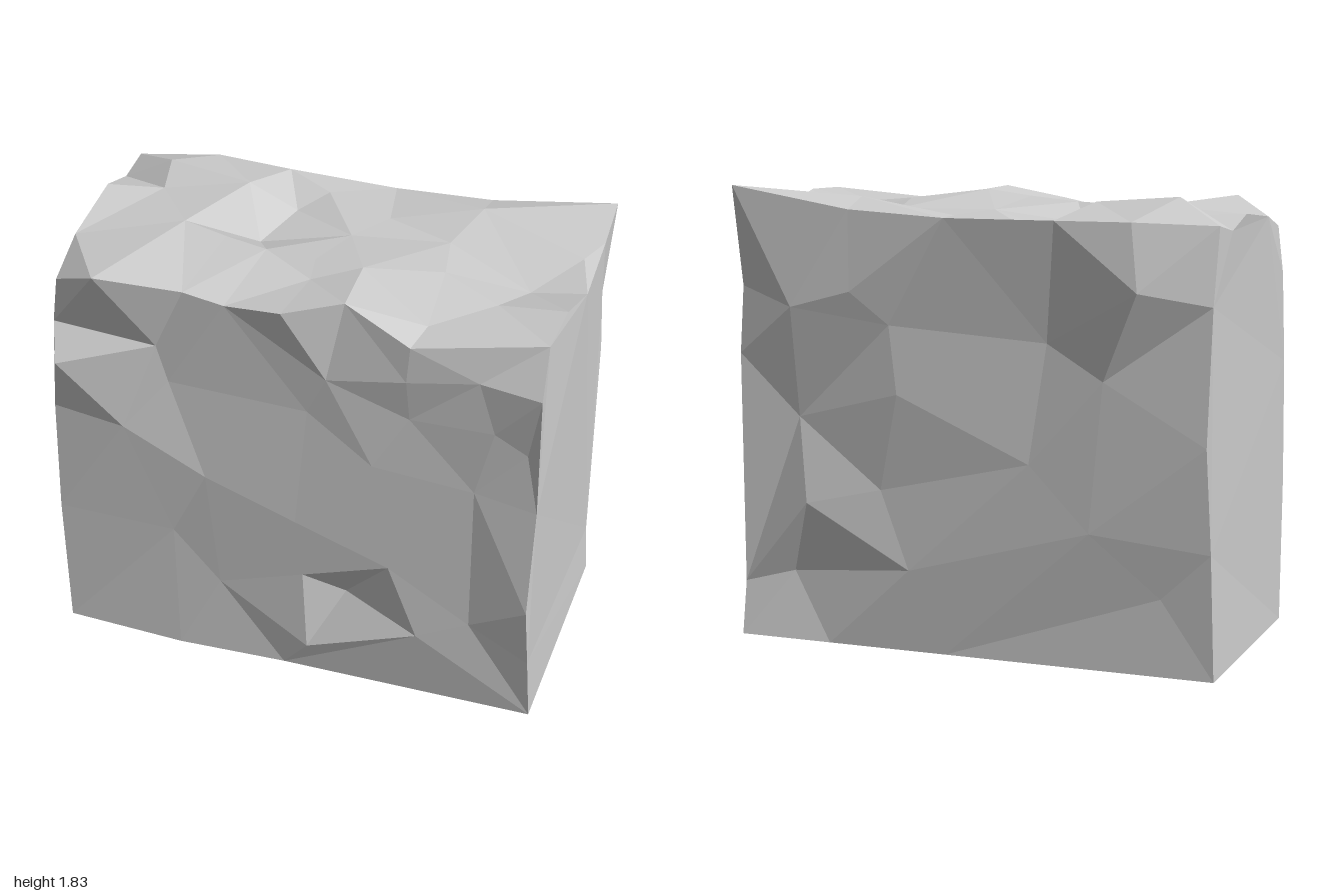
import * as THREE from 'three';

// Corners (right = +x, left = -x): bottom / top, front / back
const bfl = [-1, 0, 0.5], bfr = [0.99, 0, 0.49], bbl = [-1, 0, -0.5], bbr = [0.99, 0, -0.5];
const tfl = [-0.98, 1.65, 0.44], tfr = [0.97, 1.75, 0.43], tbl = [-0.98, 1.73, -0.43], tbr = [1, 1.83, -0.5];

// Edges shared by neighbouring faces
const edge = {
  frontBottom: [bfl, [-0.5, 0, 0.52], [-0.05, 0, 0.5], bfr],
  backBottom: [bbl, [0.1, 0, -0.5], [0.6, 0, -0.5], bbr],
  frontTop: [tfl, [-0.78, 1.76, 0.55], [-0.45, 1.71, 0.46], [-0.28, 1.69, 0.47], [-0.04, 1.73, 0.51],
    [0.19, 1.78, 0.44], [0.46, 1.67, 0.49], tfr],
  backTop: [tbl, [-0.66, 1.74, -0.51], [-0.35, 1.735, -0.5], [0.1, 1.73, -0.5], [0.5, 1.75, -0.5], tbr],
  rightFront: [bfr, [0.98, 0.3, 0.525], [0.97, 0.58, 0.56], [0.98, 1.05, 0.525], [0.98, 1.58, 0.545], tfr],
  rightTop: [tfr, [0.98, 1.76, 0.2], [1, 1.7, -0.03], [0.99, 1.73, -0.36], tbr],
  rightBack: [bbr, [0.98, 0.22, -0.48], [0.98, 1.16, -0.49], [0.97, 1.43, -0.475], tbr],
  leftFront: [bfl, [-1, 0.6, 0.52], [-1, 1.09, 0.5], [-0.96, 1.33, 0.55], [-1, 1.46, 0.45], tfl],
  leftTop: [tfl, [-1, 1.71, 0.2], [-1, 1.75, -0.13], [-0.99, 1.7, -0.29], tbl],
  leftBack: [bbl, [-0.98, 0.49, -0.49], [-0.96, 0.9, -0.5], [-0.97, 1.43, -0.47], tbl],
};

// Chipped points inside each rough face
const frontPoints = [
  [-0.57, 1.44, 0.46], [-0.7, 1.07, 0.525], [-0.52, 1.29, 0.47], [0.05, 1.28, 0.475], [-0.37, 0.88, 0.5],
  [0.13, 1.45, 0.485], [0.32, 1.1, 0.5], [0.46, 1.34, 0.48], [0.45, 1.52, 0.5], [0.73, 1.08, 0.51],
  [0.8, 1.37, 0.51], [0.73, 1.57, 0.49], [0.93, 1.3, 0.51], [0.4, 0.64, 0.53], [0.2, 0.4, 0.44],
  [-0.32, 0.36, 0.5], [0.06, 0.14, 0.53], [0.52, 0.32, 0.53], [0.73, 0.42, 0.51], [-0.52, 0.57, 0.49],
  [0.01, 0.76, 0.515], [0.04, 0.5, 0.515],
];
const backPoints = [
  [0.74, 1.36, -0.53], [0.34, 1.3, -0.48], [0.49, 1.43, -0.52], [0.74, 0.91, -0.455], [0.3, 1.03, -0.5],
  [-0.31, 1.26, -0.46], [-0.55, 1.13, -0.5], [-0.25, 0.79, -0.5], [0.69, 0.57, -0.51], [0.78, 0.27, -0.435],
  [0.25, 0.33, -0.51], [0.38, 0.64, -0.48], [-0.5, 0.54, -0.515], [-0.78, 0.3, -0.48], [-0.7, 1.48, -0.56],
];
const topPoints = [
  [-0.78, 1.82, -0.28], [-0.78, 1.74, -0.19], [-0.44, 1.79, -0.26], [-0.25, 1.68, -0.29], [-0.15, 1.72, -0.4],
  [-0.31, 1.68, -0.02], [-0.6, 1.755, 0.04], [-0.41, 1.75, 0.09], [-0.23, 1.75, 0.13], [-0.02, 1.765, 0.16],
  [0.18, 1.785, 0.19], [-0.01, 1.73, 0.25], [0.04, 1.73, -0.1], [0.14, 1.72, -0.285], [0.42, 1.73, -0.17],
  [0.78, 1.66, -0.03], [0.5, 1.79, -0.36], [0.47, 1.75, 0.07], [0.71, 1.72, 0.18], [0.5, 1.72, 0.4],
  [0.94, 1.73, -0.22],
];

const cross = (a, b, c) => (b[0] - a[0]) * (c[1] - a[1]) - (b[1] - a[1]) * (c[0] - a[0]);

function meshFrom(name, points, flat, triangles, material) {
  const positions = [];
  for (const [a, b, c] of triangles) {
    const order = cross(flat[a], flat[b], flat[c]) > 0 ? [a, b, c] : [a, c, b];
    for (const i of order) positions.push(...points[i]);
  }
  const geometry = new THREE.BufferGeometry();
  geometry.setAttribute('position', new THREE.Float32BufferAttribute(positions, 3));
  geometry.computeVertexNormals();
  const mesh = new THREE.Mesh(geometry, material);
  mesh.name = name;
  return mesh;
}

// Brute-force Delaunay triangulation of a small 2D point set
function delaunay(p) {
  const triangles = [], n = p.length;
  for (let i = 0; i < n; i++) for (let j = i + 1; j < n; j++) for (let k = j + 1; k < n; k++) {
    const d = 2 * cross(p[i], p[j], p[k]);
    if (Math.abs(d) < 1e-7) continue;
    const bx = p[j][0] - p[i][0], by = p[j][1] - p[i][1];
    const cx = p[k][0] - p[i][0], cy = p[k][1] - p[i][1];
    const b2 = bx * bx + by * by, c2 = cx * cx + cy * cy;
    const ux = (cy * b2 - by * c2) / d, uy = (bx * c2 - cx * b2) / d;
    const r2 = ux * ux + uy * uy;
    const empty = p.every((q, m) => m === i || m === j || m === k ||
      (q[0] - p[i][0] - ux) ** 2 + (q[1] - p[i][1] - uy) ** 2 > r2 - 1e-9);
    if (empty) triangles.push([i, j, k]);
  }
  return triangles;
}

// Rough face: borders are laid on a slightly bulged rectangle so neighbours meet exactly
function roughFace(name, rows, sides, inner, project, aspect, material) {
  const corners = [rows[0][0], rows[0].at(-1), rows[1][0], rows[1].at(-1)];
  const bulge = (s, t) => Math.sign(s) * (1 + 0.04 * (1 - t * t));
  const points = [], flat = [];
  const add = (p, u, v) => { points.push(p); flat.push([u, v * aspect]); };
  for (const p of corners) add(p, ...project(p).map(Math.sign));
  for (const row of rows) for (const p of row.slice(1, -1)) {
    const [u, v] = project(p);
    add(p, u, bulge(v, u));
  }
  for (const side of sides) for (const p of side.slice(1, -1)) {
    const [u, v] = project(p);
    add(p, bulge(u, v), v);
  }
  for (const p of inner) add(p, ...project(p));
  return meshFrom(name, points, flat, delaunay(flat), material);
}

// Smooth cut face bounded by a closed loop of edge points
function cutFace(name, loop, project, material) {
  const points = [...new Set(loop)];
  const flat = points.map(project);
  const triangles = THREE.ShapeUtils.triangulateShape(flat.map(([u, v]) => new THREE.Vector2(u, v)), []);
  return meshFrom(name, points, flat, triangles, material);
}

export function createModel() {
  const stone = new THREE.MeshStandardMaterial({ color: 0xcccccc });
  stone.name = 'pale grey stone';
  stone.flatShading = true;
  const e = edge, reversed = (list) => [...list].reverse();
  const block = new THREE.Group();
  block.name = 'stoneBlock';
  block.add(
    roughFace('frontFace', [e.frontBottom, e.frontTop], [e.leftFront, e.rightFront], frontPoints,
      ([x, y]) => [x, y / 0.88 - 1], 0.88, stone),
    roughFace('backFace', [e.backBottom, e.backTop], [e.leftBack, e.rightBack], backPoints,
      ([x, y]) => [-x, y / 0.9 - 1], 0.9, stone),
    roughFace('topFace', [e.frontTop, e.backTop], [e.leftTop, e.rightTop], topPoints,
      ([x, , z]) => [x, -z / 0.5], 0.5, stone),
    cutFace('rightEnd', [...e.rightFront, ...e.rightTop, ...reversed(e.rightBack)], ([, y, z]) => [-z, y], stone),
    cutFace('leftEnd', [...e.leftFront, ...e.leftTop, ...reversed(e.leftBack)], ([, y, z]) => [z, y], stone),
    cutFace('underside', [...e.frontBottom, ...reversed(e.backBottom)], ([x, , z]) => [x, z], stone),
  );
  return block;
}
